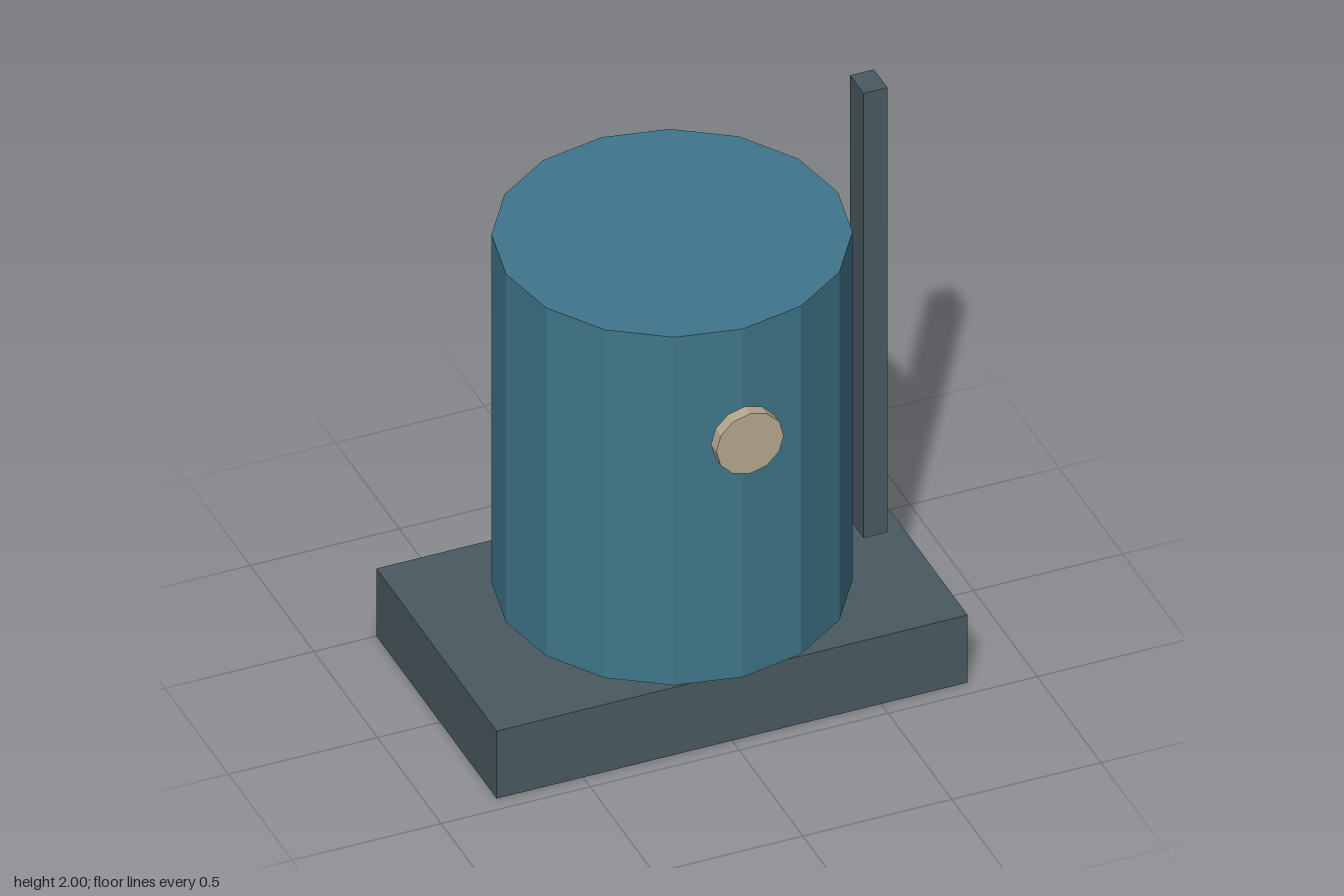
import * as THREE from 'three';

export function createModel() {
  const model = new THREE.Group();
  model.name = 'tankOnBase';

  const material = (name, color) => {
    const m = new THREE.MeshStandardMaterial({ color, flatShading: true });
    m.name = name;
    return m;
  };
  const slate = material('slate grey', 0x4a5960);
  const blue = material('steel blue', 0x3f768b);
  const tan = material('warm tan', 0xb5a890);

  const add = (name, geometry, mat, x, y, z) => {
    const mesh = new THREE.Mesh(geometry, mat);
    mesh.name = name;
    mesh.position.set(x, y, z);
    model.add(mesh);
    return mesh;
  };

  // Rectangular plinth
  add('base', new THREE.BoxGeometry(1.58, 0.255, 0.945), slate, 0, 0.1275, -0.028);

  // Sixteen-sided drum floating just above the plinth
  add('drum', new THREE.CylinderGeometry(0.557, 0.557, 1.315, 16), blue, 0, 0.9525, -0.028);

  // Tall post beside the drum
  add('post', new THREE.BoxGeometry(0.08, 1.68, 0.105), slate, 0.66, 1.16, -0.028);

  // Round dial in front of the drum
  const dial = new THREE.CylinderGeometry(0.113, 0.113, 0.042, 12);
  dial.rotateX(Math.PI / 2);
  add('dial', dial, tan, 0, 1.213, 0.564);

  return model;
}
